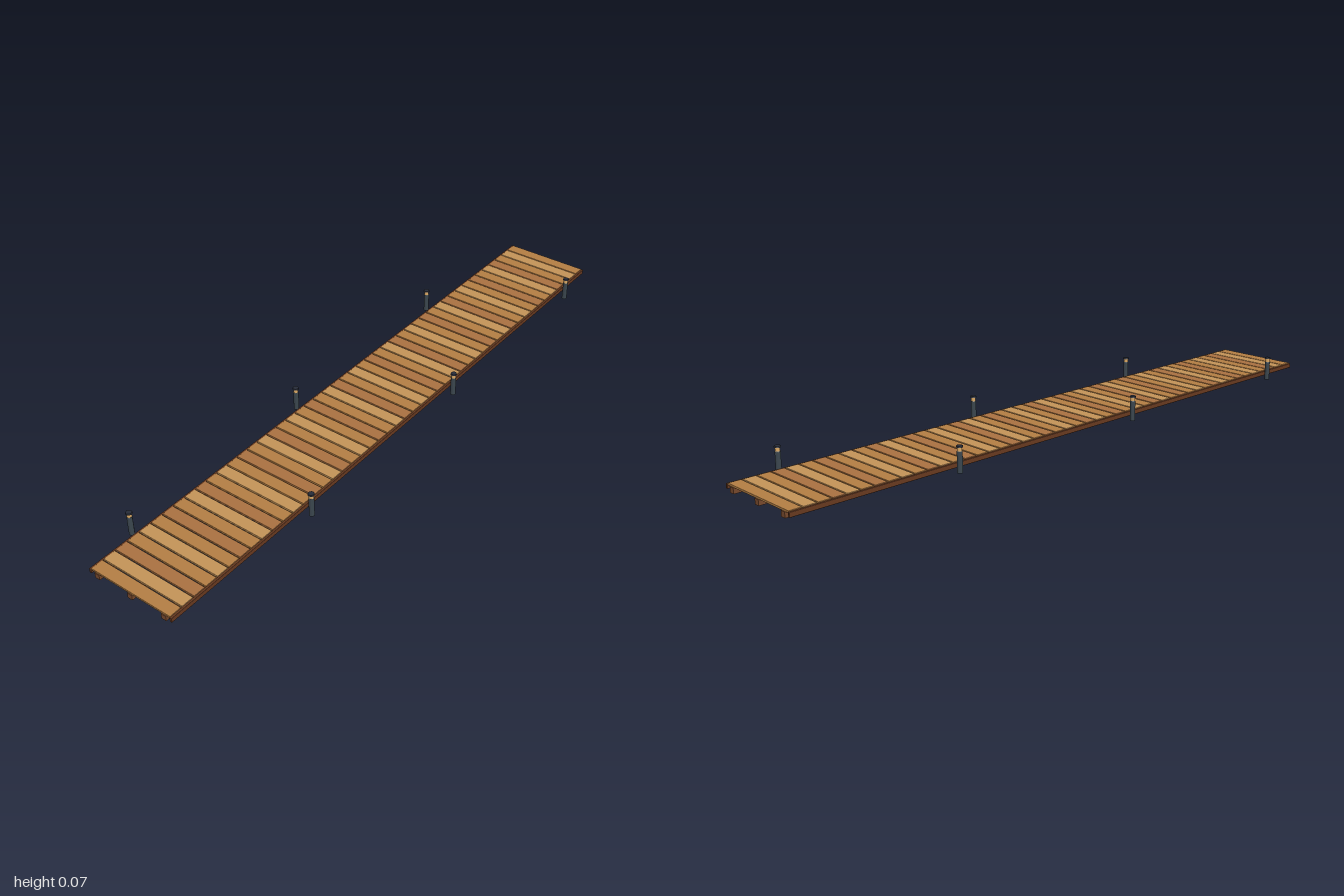
import * as THREE from 'three';
import { RoundedBoxGeometry } from 'three/addons/geometries/RoundedBoxGeometry.js';

const mat = (name, color) => {
  const m = new THREE.MeshStandardMaterial({ color });
  m.name = name;
  return m;
};

export function createModel() {
  const group = new THREE.Group();
  group.name = 'boardwalk';

  const planks = [
    mat('warm plank wood', 0xb27d43),
    mat('light plank wood', 0xc29257),
    mat('deep plank wood', 0xa87040),
  ];
  const beamWood = mat('beam wood', 0x76482c);
  const trimWood = mat('trim wood', 0x67391f);
  const postMetal = mat('post metal', 0x3a454d);
  const capMetal = mat('cap metal', 0x262b38);
  const lampGlow = mat('lamp glow', 0xdcaa66);

  const add = (parent, name, geometry, material, x, y, z) => {
    const mesh = new THREE.Mesh(geometry, material);
    mesh.name = name;
    mesh.position.set(x, y, z);
    parent.add(mesh);
    return mesh;
  };

  // Deck: cross planks with narrow gaps
  const deck = new THREE.Group();
  deck.name = 'deck';
  group.add(deck);
  const count = 48;
  const pitch = 2 / count;
  const plankGeo = new RoundedBoxGeometry(0.27, 0.006, pitch - 0.004, 1, 0.001);
  const tones = [0, 1, 0, 2, 1, 0, 2];
  for (let i = 0; i < count; i++) {
    const z = -1 + (i + 0.5) * pitch;
    add(deck, 'plank', plankGeo, planks[tones[i % tones.length]], 0, 0.019, z);
  }

  // Three bearers running under the deck
  const beamGeo = new THREE.BoxGeometry(0.016, 0.016, 2);
  for (const x of [-0.114, 0, 0.114]) add(group, 'bearer', beamGeo, beamWood, x, 0.008, 0);

  // Edge trims along both sides
  const trimGeo = new RoundedBoxGeometry(0.007, 0.014, 2, 2, 0.0015);
  for (const side of [-1, 1]) add(group, 'edgeTrim', trimGeo, trimWood, side * 0.138, 0.0132, 0);

  // Bollard lights, staggered from side to side
  const postGeo = new THREE.LatheGeometry(
    [[0, 0], [0.0078, 0], [0.0078, 0.0585], [0.007, 0.06], [0, 0.06]].map(([r, y]) => new THREE.Vector2(r, y)), 12);
  postGeo.computeVertexNormals();
  const shaft = postGeo.toNonIndexed();
  shaft.computeVertexNormals();
  const lampGeo = new THREE.CylinderGeometry(0.0068, 0.0068, 0.011, 12);
  const capGeo = new THREE.CylinderGeometry(0.0085, 0.0096, 0.004, 12);
  for (let i = 0; i < 6; i++) {
    const bollard = new THREE.Group();
    bollard.name = 'bollardLight';
    bollard.position.set(i % 2 ? -0.164 : 0.164, 0, -0.8333 + i / 3);
    add(bollard, 'post', shaft, postMetal, 0, 0, 0);
    add(bollard, 'lamp', lampGeo, lampGlow, 0, 0.0655, 0);
    add(bollard, 'cap', capGeo, capMetal, 0, 0.0725, 0);
    group.add(bollard);
  }

  return group;
}
